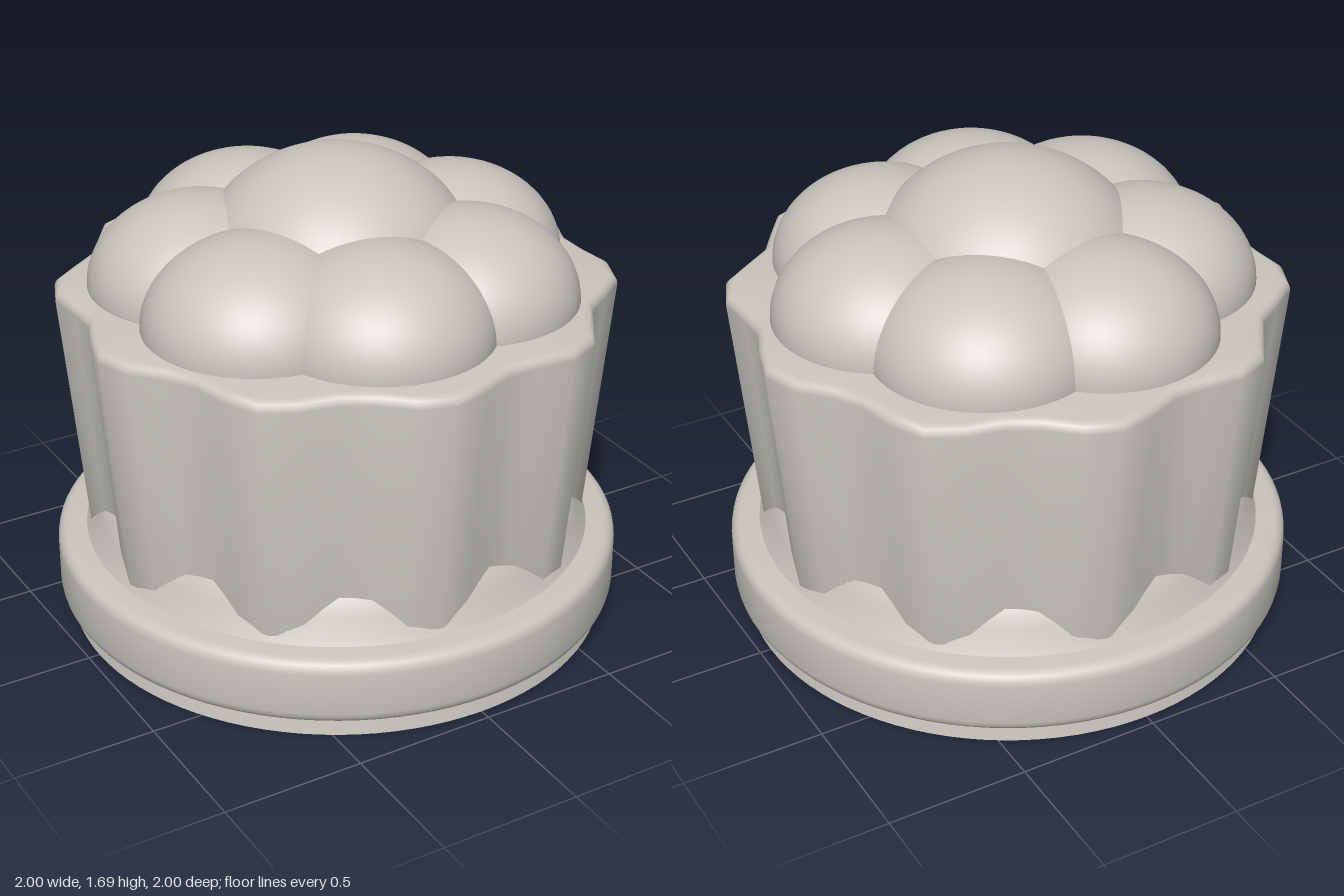
import * as THREE from 'three';
import { toCreasedNormals } from 'three/addons/utils/BufferGeometryUtils.js';

const FLUTES = 10;
const FLUTE_PHASE = THREE.MathUtils.degToRad(9);
const BERRIES = 7;

// Spin a profile of [radius, height] pairs, listed from bottom to top
function spin(profile, segments, rule) {
  const geo = new THREE.LatheGeometry(profile.map(([r, y]) => new THREE.Vector2(r, y)), segments);
  if (rule) rule(geo.attributes.position);
  return toCreasedNormals(geo, 0.9);
}

// Quarter-round corner points, from angle a0 to a1 in degrees
function corner(cx, cy, radius, a0, a1, steps = 4) {
  return Array.from({ length: steps + 1 }, (_, i) => {
    const a = THREE.MathUtils.degToRad(a0 + (a1 - a0) * i / steps);
    return [cx + radius * Math.cos(a), cy + radius * Math.sin(a)];
  });
}

// Push the wall in and out around the axis to make flutes
function flute(pos) {
  for (let i = 0; i < pos.count; i++) {
    const x = pos.getX(i), z = pos.getZ(i);
    const k = 1 + 0.046 * Math.cos(FLUTES * (Math.atan2(x, z) + FLUTE_PHASE));
    pos.setX(i, x * k);
    pos.setZ(i, z * k);
  }
}

export function createModel() {
  const group = new THREE.Group();
  const stone = new THREE.MeshStandardMaterial({ color: 0xc9c6bf });
  stone.name = 'warm grey';

  const add = (name, geo) => {
    const mesh = new THREE.Mesh(geo, stone);
    mesh.name = name;
    group.add(mesh);
    return mesh;
  };

  // Thin flared foot ring, hollow underneath
  add('footRing', spin([[0.944, 0.07], [0.956, 0], [0.96, 0], [0.948, 0.07]], 96));

  // Thick plate with rounded edges
  add('plate', spin([
    [0, 0.063],
    ...corner(0.955, 0.108, 0.045, -90, 0),
    ...corner(0.955, 0.26, 0.045, 0, 90),
    [0, 0.305],
  ], 96));

  // Low mound that the fluted cup sinks into
  add('mound', spin([[0.9, 0.3], [0.883, 0.33], [0.858, 0.39], [0.825, 0.465], [0.75, 0.53], [0, 0.56]], 96));

  // Fluted cup, wider at the top, with a softened rim
  add('cup', spin([
    [0.6, 0.327], [0.853, 0.327],
    ...corner(0.896, 1.195, 0.035, 0, 90),
    [0, 1.23],
  ], 48, flute));

  // Ring of domes on top
  const dome = new THREE.SphereGeometry(1, 48, 20, 0, Math.PI * 2, 0, Math.PI / 2);
  for (let i = 0; i < BERRIES; i++) {
    const a = i / BERRIES * Math.PI * 2;
    const berry = add('outerDome', dome);
    berry.position.set(0.463 * Math.cos(a), 1.23, 0.463 * Math.sin(a));
    berry.scale.set(0.39, 0.307, 0.39);
  }

  // Larger dome in the middle
  const middle = add('centreDome', dome);
  middle.position.y = 1.23;
  middle.scale.set(0.5, 0.46, 0.5);

  return group;
}
